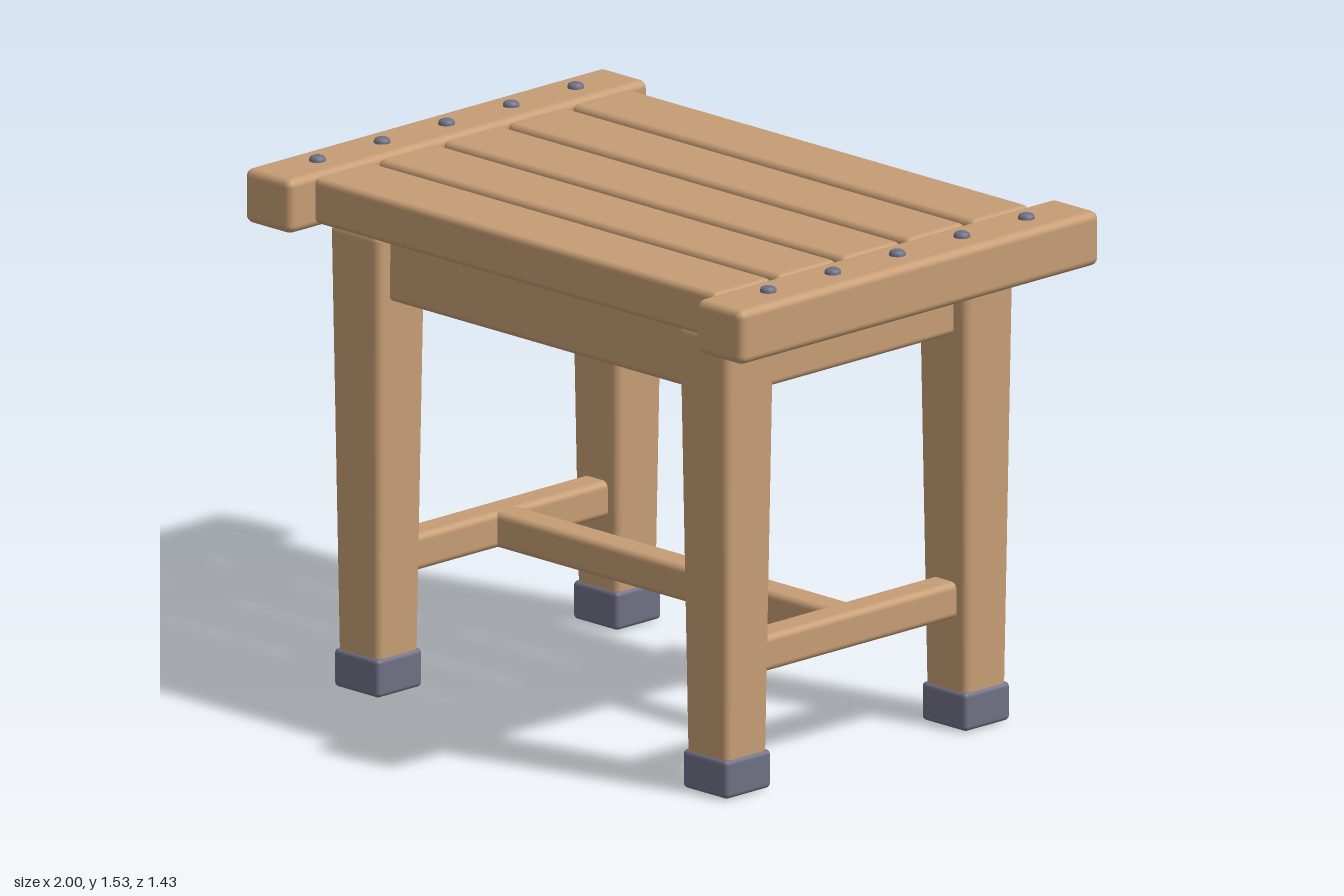
import * as THREE from 'three';
import { RoundedBoxGeometry } from 'three/addons/geometries/RoundedBoxGeometry.js';

const wood = new THREE.MeshStandardMaterial({ color: 0xc69d74 });
wood.name = 'wood';
const metal = new THREE.MeshStandardMaterial({ color: 0x6f7184 });
metal.name = 'darkMetal';

const LEG_X = 0.70, LEG_Z = 0.474, LEG_H = 1.37;

export function createModel() {
  const group = new THREE.Group();

  function add(name, geometry, material, x, y, z) {
    const mesh = new THREE.Mesh(geometry, material);
    mesh.name = name;
    mesh.position.set(x, y, z);
    group.add(mesh);
  }

  // rounded bar, given by its size and centre
  function bar(name, w, h, d, x, y, z, radius = 0.02, material = wood) {
    add(name, new RoundedBoxGeometry(w, h, d, 3, radius), material, x, y, z);
  }

  // leg tapering towards the floor
  const legGeometry = new RoundedBoxGeometry(0.2, LEG_H, 0.2, 3, 0.025);
  const p = legGeometry.attributes.position;
  for (let i = 0; i < p.count; i++) {
    const s = THREE.MathUtils.lerp(0.81, 1, p.getY(i) / LEG_H + 0.5);
    p.setX(i, p.getX(i) * s);
    p.setZ(i, p.getZ(i) * s);
  }

  // flattened dome stud
  const studGeometry = new THREE.LatheGeometry([
    [0.024, -0.01], [0.024, 0.004], [0.021, 0.011], [0.014, 0.015], [0, 0.016],
  ].map(([r, y]) => new THREE.Vector2(r, y)), 20);

  // legs with their foot caps
  for (const sx of [-1, 1]) {
    for (const sz of [-1, 1]) {
      add('leg', legGeometry, wood, sx * LEG_X, LEG_H / 2, sz * LEG_Z);
      bar('footCap', 0.18, 0.113, 0.18, sx * LEG_X, 0.0585, sz * LEG_Z, 0.014, metal);
    }
  }

  // aprons under the seat
  for (const s of [-1, 1]) {
    bar('longApron', 1.24, 0.205, 0.1, 0, 1.2675, s * LEG_Z);
    bar('sideApron', 0.1, 0.205, 0.79, s * LEG_X, 1.2675, 0);
  }

  // lower stretchers forming an H
  for (const s of [-1, 1]) bar('sideStretcher', 0.1, 0.107, 0.82, s * LEG_X, 0.381, 0);
  bar('middleStretcher', 1.36, 0.106, 0.1, 0, 0.381, 0);

  // seat slats, and the studs in line with them
  for (let i = -2; i <= 2; i++) {
    const z = i * 0.256;
    bar('seatSlat', 1.618, 0.136, 0.231, 0, 1.442, z);
    for (const s of [-1, 1]) add('stud', studGeometry, metal, s * 0.905, 1.515, z);
  }

  // end rails
  for (const s of [-1, 1]) bar('endRail', 0.187, 0.16, 1.426, s * 0.9065, 1.435, 0, 0.024);

  return group;
}
